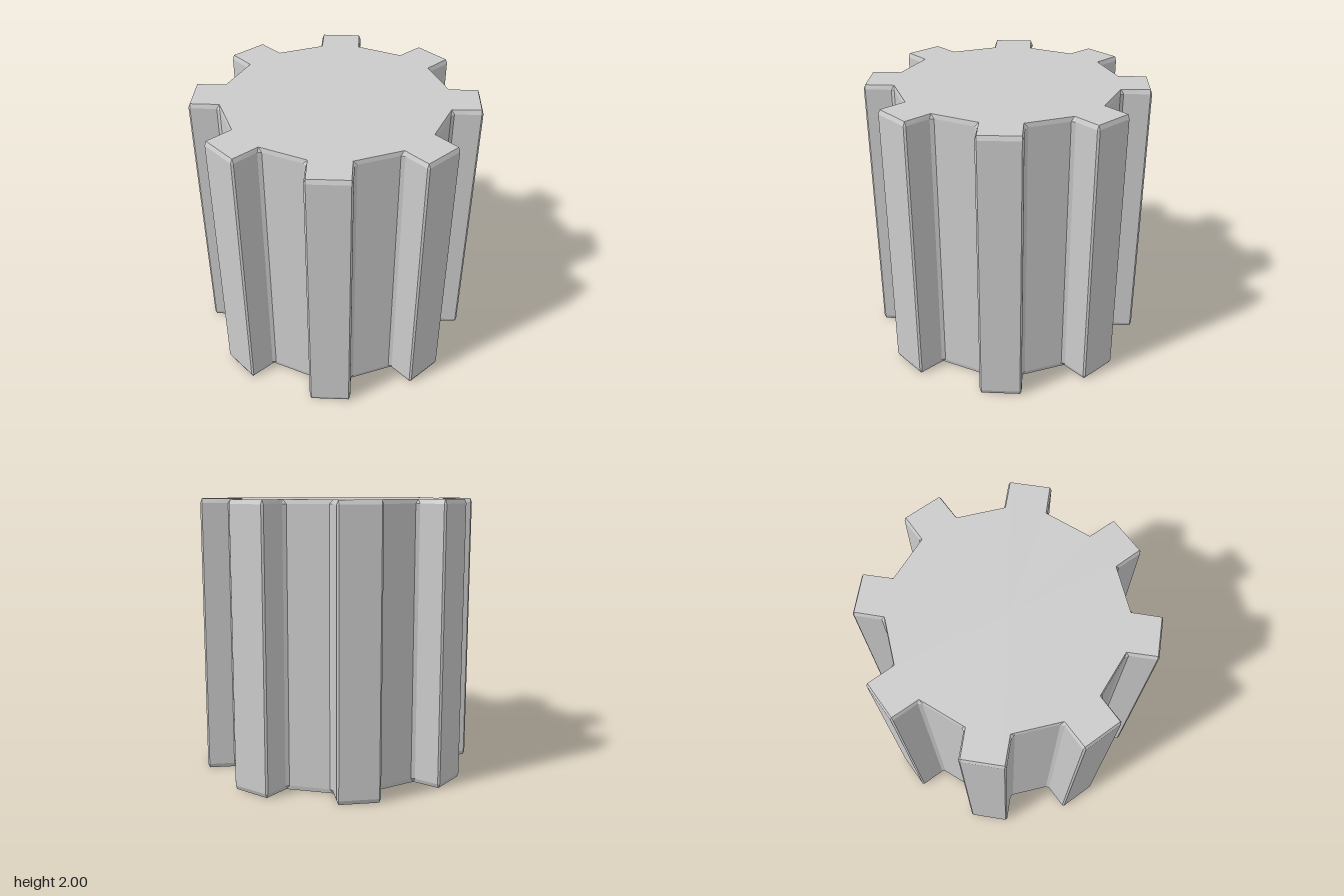
import * as THREE from 'three';

const TEETH = 8;
const HEIGHT = 2;
const BEVEL = 0.03;

// Half-tooth outlines as [sideways, outward], from root to tip
const BODY = [[0.166, 0.781], [0.15, 0.8045], [0.15, 0.988], [0.138, 1]];
const CAP = [[0.14, 0.785], [0.14, 0.785], [0.138, 0.988], [0.138, 0.988]];

// Mirror the half tooth and repeat it around the y axis
function ring(half, y) {
  const tooth = [...half.map(([t, r]) => [-t, r]), ...[...half].reverse()];
  const points = [];
  for (let i = 0; i < TEETH; i++) {
    const a = (i / TEETH) * Math.PI * 2;
    for (const [t, r] of tooth) {
      points.push(new THREE.Vector3(
        t * Math.cos(a) + r * Math.sin(a), y, r * Math.cos(a) - t * Math.sin(a)));
    }
  }
  return points;
}

function gearGeometry() {
  const rings = [
    ring(CAP, 0), ring(BODY, BEVEL), ring(BODY, HEIGHT - BEVEL), ring(CAP, HEIGHT),
  ];
  const positions = [];
  const triangle = (a, b, c) => {
    if (new THREE.Triangle(a, b, c).getArea() < 1e-9) return; // merged corners
    for (const p of [a, b, c]) positions.push(p.x, p.y, p.z);
  };
  const bottom = new THREE.Vector3(0, 0, 0);
  const top = new THREE.Vector3(0, HEIGHT, 0);
  const n = rings[0].length;

  for (let i = 0; i < n; i++) {
    const j = (i + 1) % n;
    // Lower bevel, wall and upper bevel
    for (let k = 0; k < rings.length - 1; k++) {
      const lo = rings[k], hi = rings[k + 1];
      triangle(lo[i], lo[j], hi[j]);
      triangle(lo[i], hi[j], hi[i]);
    }
    // Flat ends
    triangle(bottom, rings[0][j], rings[0][i]);
    triangle(top, rings[3][i], rings[3][j]);
  }

  const geometry = new THREE.BufferGeometry();
  geometry.setAttribute('position', new THREE.Float32BufferAttribute(positions, 3));
  geometry.computeVertexNormals();
  return geometry;
}

export function createModel() {
  const group = new THREE.Group();
  group.name = 'gear';
  const material = new THREE.MeshStandardMaterial({ color: 0xcccccc, flatShading: true });
  const gear = new THREE.Mesh(gearGeometry(), material);
  gear.name = 'toothedCylinder';
  group.add(gear);
  return group;
}
